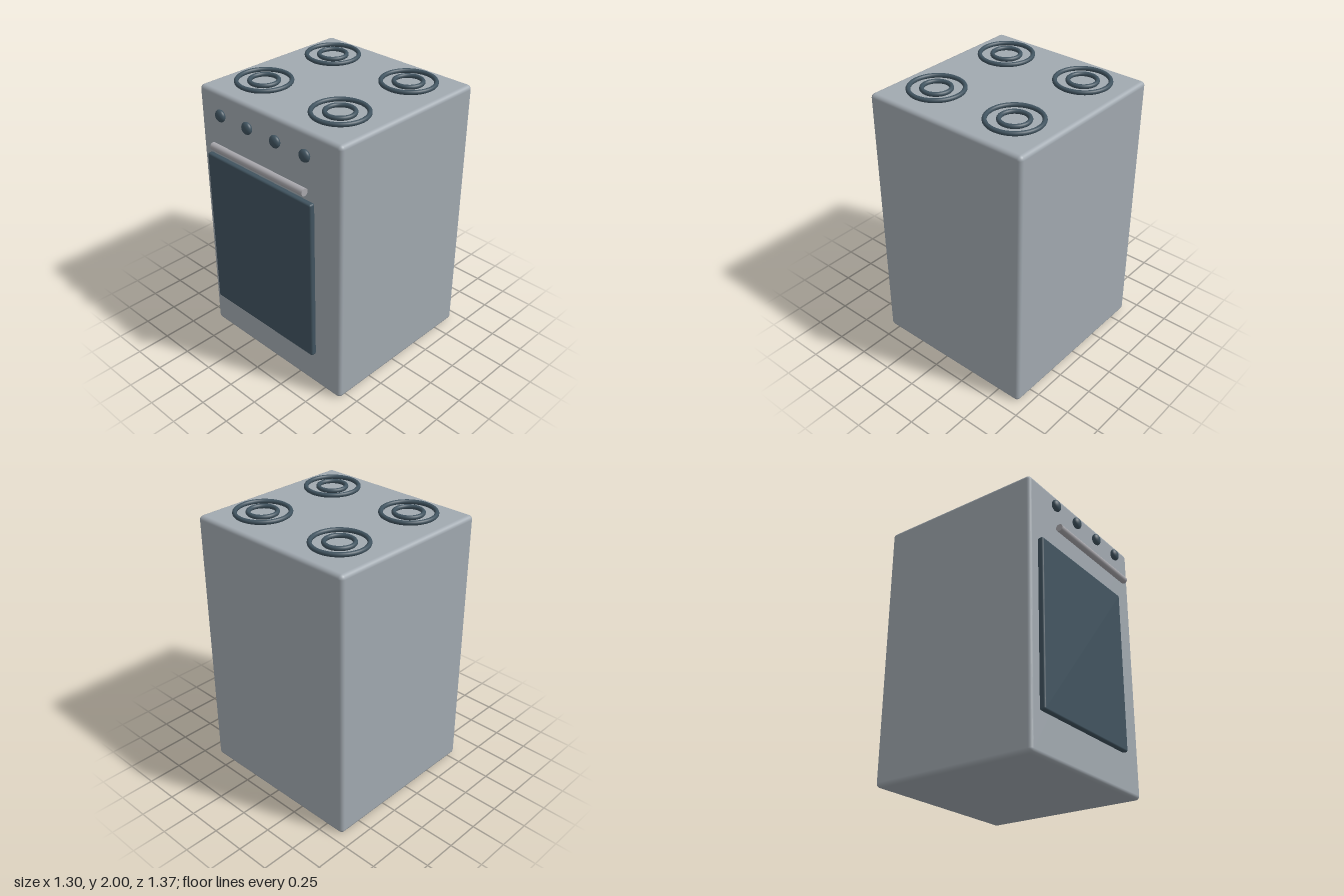
import * as THREE from 'three';
import { RoundedBoxGeometry } from 'three/addons/geometries/RoundedBoxGeometry.js';

function material(name, color) {
  const m = new THREE.MeshStandardMaterial({ color });
  m.name = name;
  return m;
}

export function createModel() {
  const model = new THREE.Group();
  model.name = 'cooker';
  const bodyGrey = material('body grey', 0xa1a9b0);
  const handleGrey = material('handle grey', 0xa9a8ad);
  const darkBlue = material('dark slate', 0x40535f);

  const add = (name, geometry, mat, x, y, z) => {
    const mesh = new THREE.Mesh(geometry, mat);
    mesh.name = name;
    mesh.position.set(x, y, z);
    model.add(mesh);
    return mesh;
  };

  // Cabinet with softened edges
  add('body', new RoundedBoxGeometry(1.304, 1.96, 1.256, 4, 0.03), bodyGrey, 0, 0.98, -0.057);

  // Oven door, set off to one side of the front
  add('ovenDoor', new RoundedBoxGeometry(0.998, 1.214, 0.044, 3, 0.014), darkBlue, -0.068, 0.887, 0.592);

  // Bar handle above the door
  const bar = new THREE.CylinderGeometry(0.026, 0.026, 0.868, 32).rotateZ(Math.PI / 2);
  add('doorHandle', bar, handleGrey, -0.001, 1.61, 0.659);

  // Flattened round knobs
  const knob = new THREE.SphereGeometry(0.043, 32, 20).scale(1, 1, 0.6);
  for (let i = 0; i < 4; i++) add('knob', knob, darkBlue, -0.393 + i * 0.261, 1.827, 0.615);

  // Four burners, each of two concentric rings
  const rings = [0.184, 0.097].map((r) => new THREE.TorusGeometry(r, 0.0155, 16, 64).rotateX(Math.PI / 2));
  for (const x of [-0.348, 0.348]) {
    for (const z of [-0.386, 0.265]) {
      add('outerBurnerRing', rings[0], darkBlue, x, 1.9845, z);
      add('innerBurnerRing', rings[1], darkBlue, x, 1.9845, z);
    }
  }
  return model;
}
